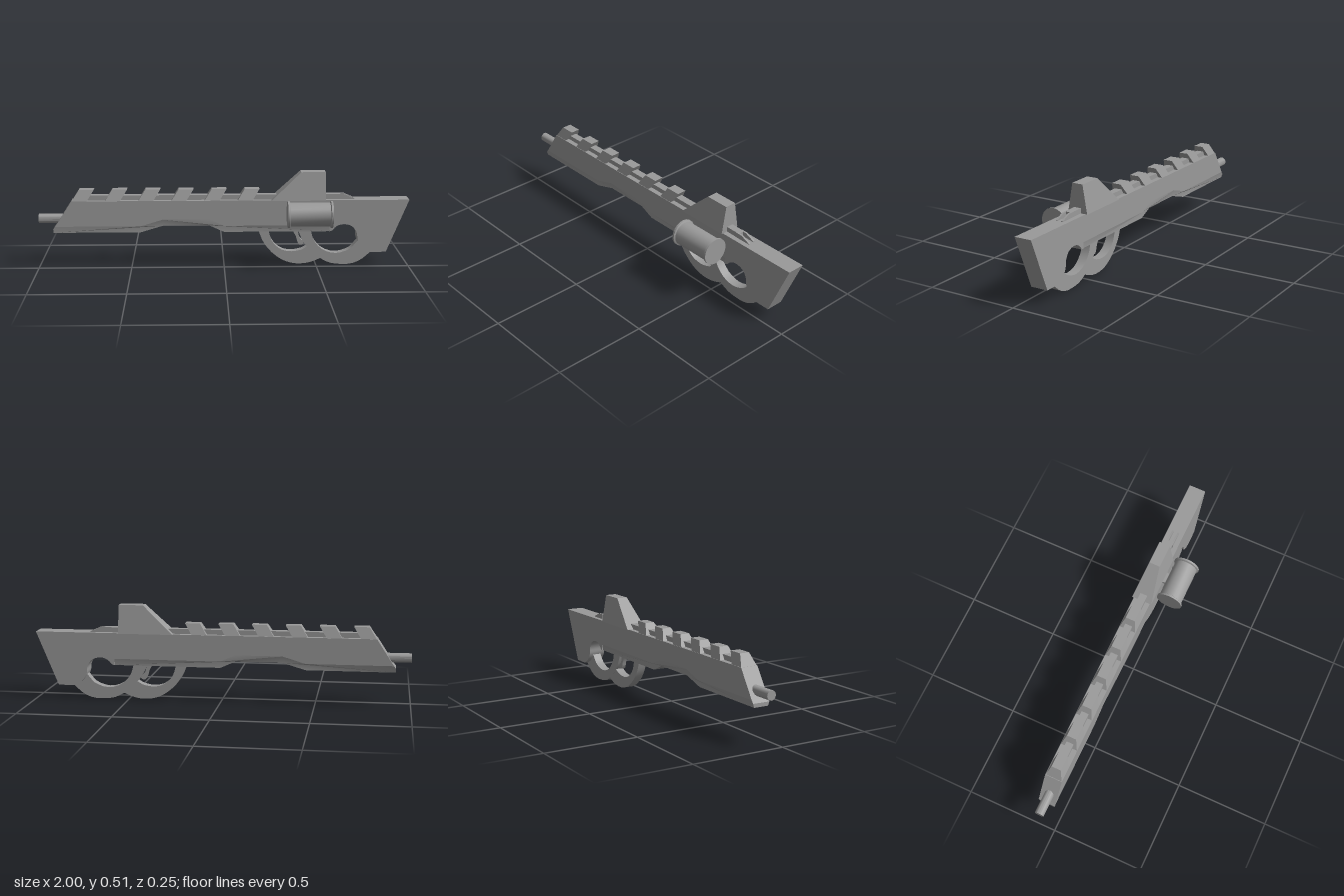
import * as THREE from 'three';
import { toCreasedNormals } from 'three/addons/utils/BufferGeometryUtils.js';

const MID_Z = -0.07;
const CREASE = 0.6;
const steel = new THREE.MeshStandardMaterial({ color: 0x9a9a9a, side: THREE.DoubleSide });

const points = (list) => list.map(([x, y]) => new THREE.Vector2(x, y));
const curve = (list, n = 16) => new THREE.SplineCurve(points(list)).getPoints(n);

// Side profile given thickness; halfWidth(x, y) sets how wide each corner is.
function slab(name, outline, halfWidth) {
  const geo = new THREE.ExtrudeGeometry(new THREE.Shape(outline), { depth: 1, bevelEnabled: false });
  const p = geo.attributes.position;
  for (let i = 0; i < p.count; i++) {
    const side = p.getZ(i) > 0.5 ? 1 : -1;
    p.setZ(i, MID_Z + side * halfWidth(p.getX(i), p.getY(i)));
  }
  const mesh = new THREE.Mesh(toCreasedNormals(geo, CREASE), steel);
  mesh.name = name;
  return mesh;
}

function box(name, w, h, d, x, y, z) {
  const mesh = new THREE.Mesh(new THREE.BoxGeometry(w, h, d), steel);
  mesh.position.set(x, y, z);
  mesh.name = name;
  return mesh;
}

// Round part turned about the x axis, from [radius, x] pairs.
function turned(name, profile, y, z, sides) {
  const geo = new THREE.LatheGeometry(points(profile), sides);
  geo.rotateZ(-Math.PI / 2);
  const mesh = new THREE.Mesh(toCreasedNormals(geo, CREASE), steel);
  mesh.position.set(0, y, z);
  mesh.name = name;
  return mesh;
}

// Underside height of the fore-end, raised at the hand recess
const undersideY = (x) =>
  0.19 + 0.036 * THREE.MathUtils.clamp(Math.min((x + 0.45) / 0.12, -x / 0.08), 0, 1);

export function createModel() {
  const model = new THREE.Group();
  model.name = 'rifle';
  const flat = (w) => () => w;
  const taper = (y0, w0, y1, w1) => (x, y) => w0 + (w1 - w0) * (y - y0) / (y1 - y0);

  // Receiver, and the chamfered strip that follows its underside
  const bends = [-0.45, -0.33, -0.08, 0, 0.58];
  const under = [[-0.92, 0.19], ...bends.map((x) => [x, undersideY(x)])];
  const shoulder = [[-0.909, 0.225], ...bends.map((x) => [x, undersideY(x) + 0.035])];
  model.add(slab('receiver', points([...shoulder, [0.58, 0.364], [-0.819, 0.364]]), flat(0.047)));
  model.add(slab('underside', points([...under, ...shoulder.reverse(), [-0.92, 0.21]]),
    (x, y) => (y < undersideY(x) + 0.01 ? 0.04 : 0.047)));

  // Stock with the curved thumb cut-out
  model.add(slab('stock', [
    ...points([[0.57, 0.364], [0.57, 0.19]]),
    ...curve([[0.585, 0.195], [0.61, 0.22], [0.65, 0.231], [0.695, 0.217],
      [0.72, 0.18], [0.725, 0.14], [0.75, 0.1], [0.79, 0.075]], 22),
    ...points([[0.88, 0.075], [1, 0.364]]),
  ], flat(0.047)));

  // Grip loop and trigger guard
  model.add(slab('gripLoop', [
    ...curve([[0.4, 0.2], [0.43, 0.13], [0.48, 0.07], [0.55, 0.021], [0.61, 0.004],
      [0.69, 0.004], [0.75, 0.028], [0.805, 0.076]]),
    ...curve([[0.75, 0.16], [0.718, 0.122], [0.68, 0.084], [0.61, 0.064], [0.54, 0.083], [0.49, 0.135], [0.47, 0.2]]),
  ], flat(0.024)));
  model.add(slab('triggerGuard', [
    ...curve([[0.185, 0.2], [0.21, 0.135], [0.25, 0.08], [0.31, 0.032], [0.37, 0.01],
      [0.43, 0.007], [0.48, 0.017], [0.53, 0.038]]),
    ...curve([[0.465, 0.11], [0.42, 0.084], [0.36, 0.075], [0.305, 0.09], [0.26, 0.135], [0.24, 0.2]]),
  ], flat(0.0235)));
  model.add(slab('trigger', curve([
    [0.365, 0.2], [0.39, 0.16], [0.405, 0.115], [0.425, 0.11], [0.435, 0.125], [0.412, 0.15], [0.4, 0.2],
  ]), flat(0.011)));

  // Slanted top rail teeth on a narrow spine
  model.add(box('railSpine', 1.1, 0.03, 0.04, -0.24, 0.375, MID_Z));
  for (let i = 0; i < 6; i++) {
    const x = -0.819 + i * 0.178;
    model.add(slab('railTooth', points([
      [x, 0.36], [x + 0.08, 0.36], [x + 0.12, 0.423], [x + 0.04, 0.423],
    ]), taper(0.36, 0.046, 0.423, 0.026)));
  }

  // Raised sight housing with a sloped front
  model.add(slab('sightHousing', points([
    [0.255, 0.363], [0.547, 0.363], [0.547, 0.514], [0.415, 0.514],
  ]), taper(0.363, 0.056, 0.514, 0.03)));

  // Rear notch: a block with two sloping prongs
  model.add(box('rearNotchBlock', 0.1, 0.03, 0.038, 0.58, 0.376, MID_Z));
  for (const side of [-1, 1]) {
    const prong = slab('rearNotchProng', points([
      [0.61, 0.36], [0.705, 0.36], [0.705, 0.367], [0.65, 0.391], [0.61, 0.391],
    ]), flat(0.005));
    prong.position.z = side * 0.016;
    model.add(prong);
  }

  // Barrel
  model.add(turned('barrel', [[0, -1], [0.025, -1], [0.025, -0.85], [0, -0.85]], 0.262, MID_Z, 16));

  // Side drum with end flanges and its mounting pin
  model.add(turned('sideDrum', [
    [0, 0.336], [0.072, 0.336], [0.072, 0.346], [0.064, 0.35],
    [0.064, 0.562], [0.072, 0.566], [0.072, 0.576], [0, 0.576],
  ], 0.303, 0.056, 20));
  model.add(box('drumMount', 0.06, 0.014, 0.05, 0.455, 0.303, -0.018));

  return model;
}
